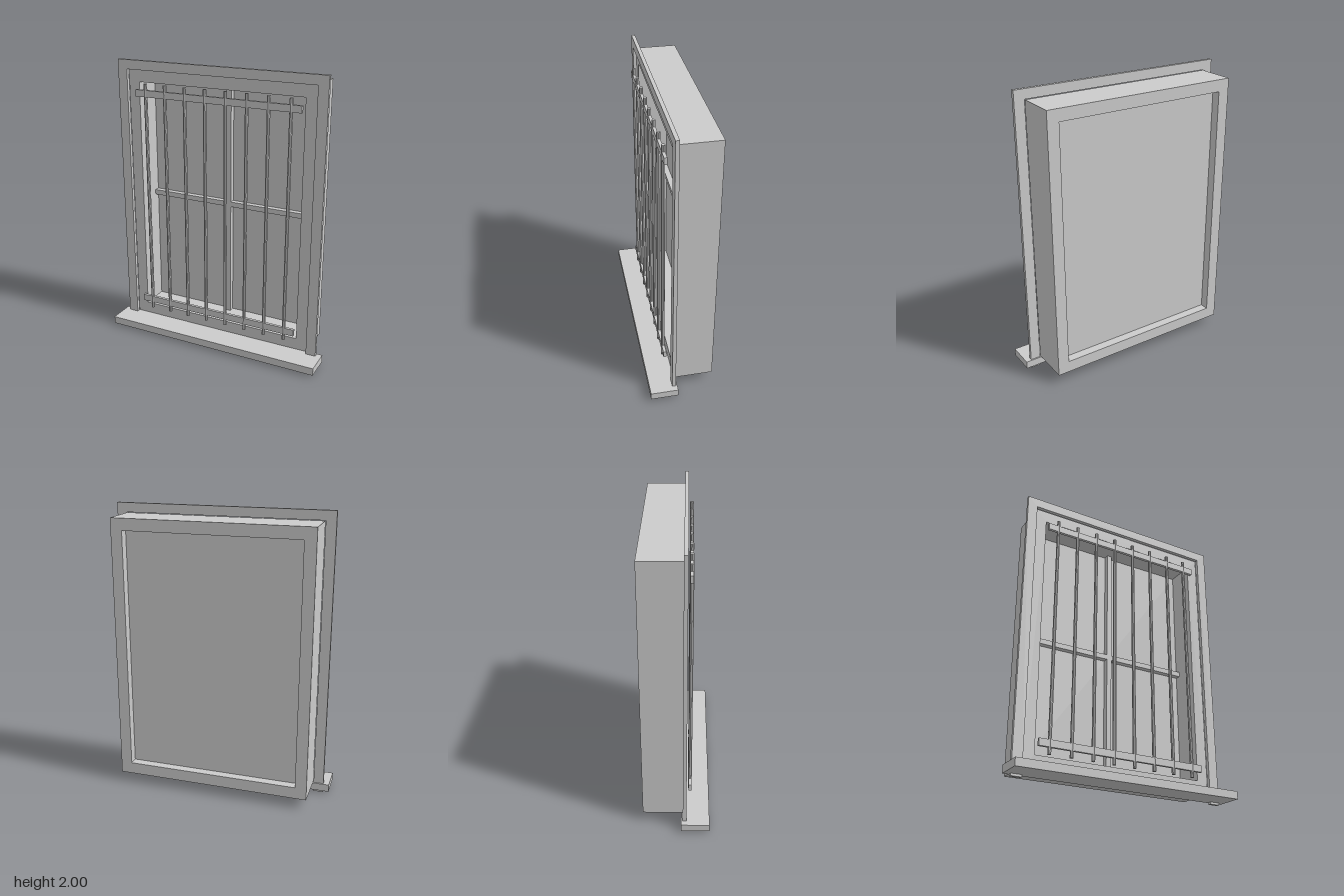
import * as THREE from 'three';

export function createModel() {
  const model = new THREE.Group();
  const material = new THREE.MeshStandardMaterial({ color: 0xcccccc, flatShading: true });

  function add(name, geometry, parent = model) {
    const mesh = new THREE.Mesh(geometry, material);
    mesh.name = name;
    parent.add(mesh);
    return mesh;
  }

  // Box given by its limits on each axis
  function box(name, x0, x1, y0, y1, z0, z1, parent) {
    const mesh = add(name, new THREE.BoxGeometry(x1 - x0, y1 - y0, z1 - z0), parent);
    mesh.position.set((x0 + x1) / 2, (y0 + y1) / 2, (z0 + z1) / 2);
    return mesh;
  }

  // Flat outline pushed from z0 to z1
  function slab(name, shape, z0, z1) {
    const geometry = new THREE.ExtrudeGeometry(shape, { depth: z1 - z0, bevelEnabled: false });
    add(name, geometry.translate(0, 0, z0));
  }

  const outline = (points, Type = THREE.Shape) =>
    new Type(points.map(([x, y]) => new THREE.Vector2(x, y)));
  const rect = (w, y0, y1) => [[-w, y0], [w, y0], [w, y1], [-w, y1]];

  // Deep box frame with a through opening
  const frame = outline(rect(0.687, 0.072, 1.932));
  frame.holes.push(outline(rect(0.607, 0.155, 1.85), THREE.Path));
  slab('frame', frame, -0.227, 0.047);

  // Front casing: two legs and a head, the legs reaching down through the sill
  slab('casing', outline([
    [-0.76, 0], [-0.69, 0], [-0.69, 1.935], [0.69, 1.935],
    [0.69, 0], [0.76, 0], [0.76, 2], [-0.76, 2],
  ]), 0.045, 0.07);

  // Sill
  box('sill', -0.8, 0.8, 0.015, 0.068, 0.035, 0.225);

  // Pane and cross-shaped glazing bars
  box('pane', -0.607, 0.607, 0.155, 1.85, -0.165, -0.155);
  const w = 0.018, c = 1.003;
  slab('glazingBars', outline([
    [-w, 0.155], [w, 0.155], [w, c - w], [0.607, c - w], [0.607, c + w], [w, c + w],
    [w, 1.85], [-w, 1.85], [-w, c + w], [-0.607, c + w], [-0.607, c - w], [-w, c - w],
  ]), -0.156, -0.115);

  // Security grille: two flat rails and eight upright bars
  const grille = new THREE.Group();
  grille.name = 'grille';
  model.add(grille);
  box('lowerRail', -0.605, 0.605, 0.2, 0.248, 0.082, 0.102, grille);
  box('upperRail', -0.605, 0.605, 1.76, 1.807, 0.082, 0.102, grille);
  const barGeometry = new THREE.CylinderGeometry(0.0125, 0.0125, 1.695, 8);
  for (let i = 0; i < 8; i++) {
    add('grilleBar', barGeometry, grille).position.set((i - 3.5) * 0.1515, 1.0025, 0.092);
  }

  return model;
}
